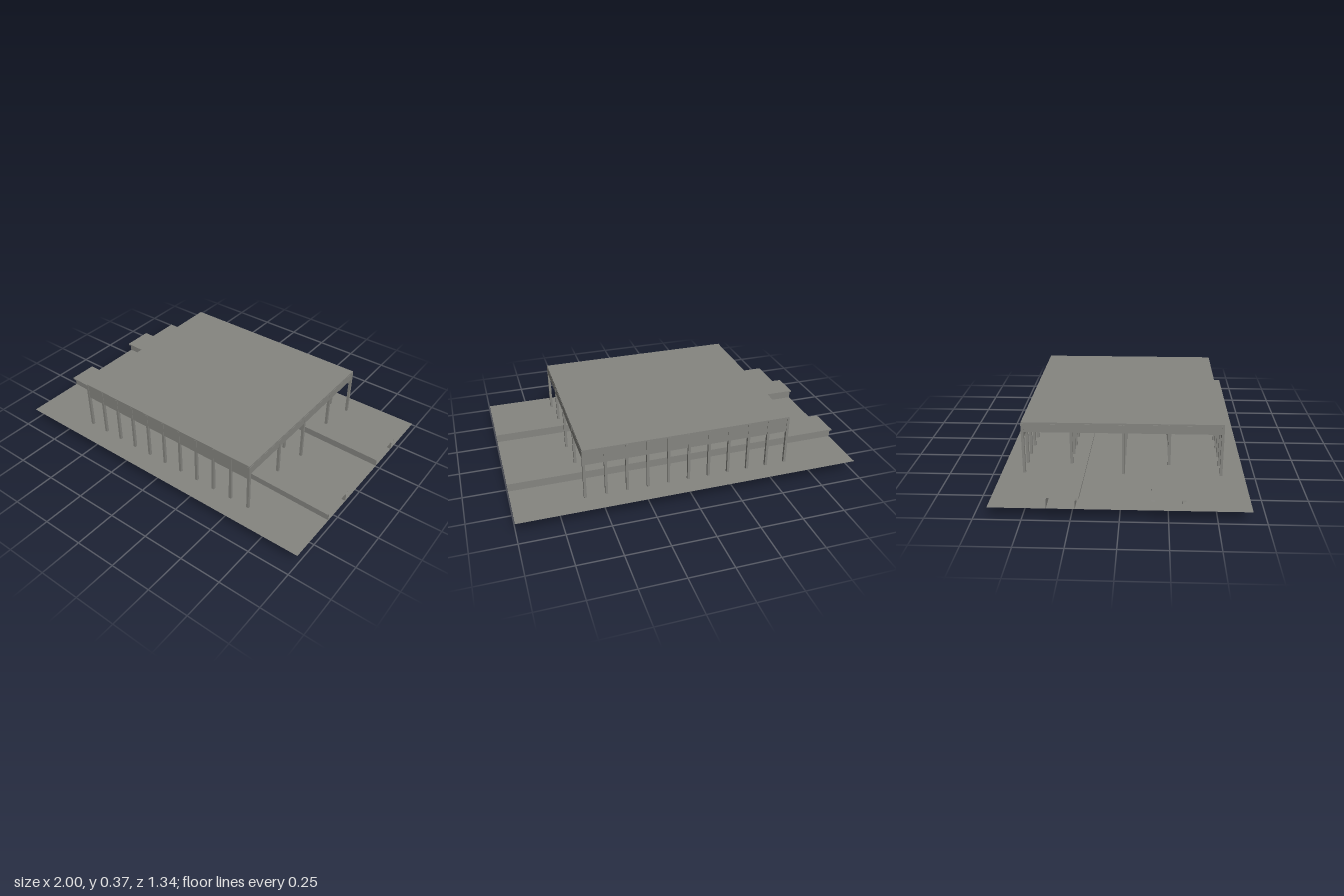
import * as THREE from 'three';

export function createModel() {
  const group = new THREE.Group();
  const concrete = new THREE.MeshStandardMaterial({ color: 0x858580, side: THREE.DoubleSide });
  concrete.name = 'concrete grey';

  function add(name, geometry, x = 0, y = 0, z = 0) {
    const mesh = new THREE.Mesh(geometry, concrete);
    mesh.name = name;
    mesh.position.set(x, y, z);
    group.add(mesh);
    return mesh;
  }
  // Box given by its bottom and top heights
  function slab(name, w, y0, y1, d, x, z) {
    return add(name, new THREE.BoxGeometry(w, y1 - y0, d), x, (y0 + y1) / 2, z);
  }

  // Ground sheet
  add('ground', new THREE.PlaneGeometry(2, 1.344).rotateX(-Math.PI / 2), 0, 0.07, 0);

  // Open-ended platform shell: straight back edge, slightly skewed front edge
  function platform(name, back, frontStart, frontEnd) {
    const profile = f => [
      [back + 0.02, 0.071], [back + 0.02, 0.117], [back, 0.122], [back, 0.131],
      [f, 0.131], [f, 0.122], [f - 0.02, 0.117], [f - 0.02, 0.071],
    ];
    const p = profile(frontStart), q = profile(frontEnd);
    const positions = [];
    for (let i = 0; i < p.length - 1; i++) {
      const a = [-1, p[i][1], p[i][0]], b = [-1, p[i + 1][1], p[i + 1][0]];
      const c = [1, q[i + 1][1], q[i + 1][0]], d = [1, q[i][1], q[i][0]];
      positions.push(...a, ...b, ...c, ...a, ...c, ...d);
    }
    const geometry = new THREE.BufferGeometry();
    geometry.setAttribute('position', new THREE.Float32BufferAttribute(positions, 3));
    geometry.computeVertexNormals();
    add(name, geometry);
  }
  platform('frontPlatform', 0.16, 0.335, 0.384);
  platform('backPlatform', -0.39, -0.204, -0.16);

  // Columns on stepped footings
  const rows = [0.544, 0.257, 0.005, -0.28, -0.546];
  const columnXs = Array.from({ length: 11 }, (_, i) => -0.6 + i * 0.12);
  const taper = new THREE.CylinderGeometry(0.032 / Math.SQRT2, 0.046 / Math.SQRT2, 0.006, 4, 1)
    .rotateY(Math.PI / 4).toNonIndexed();
  taper.computeVertexNormals();
  for (const z of rows) {
    for (const x of columnXs) {
      slab('footing', 0.046, 0, 0.036, 0.046, x, z);
      add('footingTaper', taper, x, 0.039, z);
      slab('plinth', 0.03, 0.042, 0.05, 0.03, x, z);
      slab('column', 0.015, 0.05, 0.365, 0.015, x, z);
    }
  }

  // Roof slab
  slab('roof', 1.21, 0.364, 0.373, 1.102, 0, -0.001);

  // Cross beams under the roof at every column line
  for (const x of columnXs) slab('crossBeam', 0.012, 0.316, 0.364, 1.09, x, -0.001);

  // Deep edge panels along the front and back
  for (const z of [rows[0], rows[4]]) slab('edgePanel', 1.2, 0.28, 0.364, 0.01, 0, z);

  return group;
}
